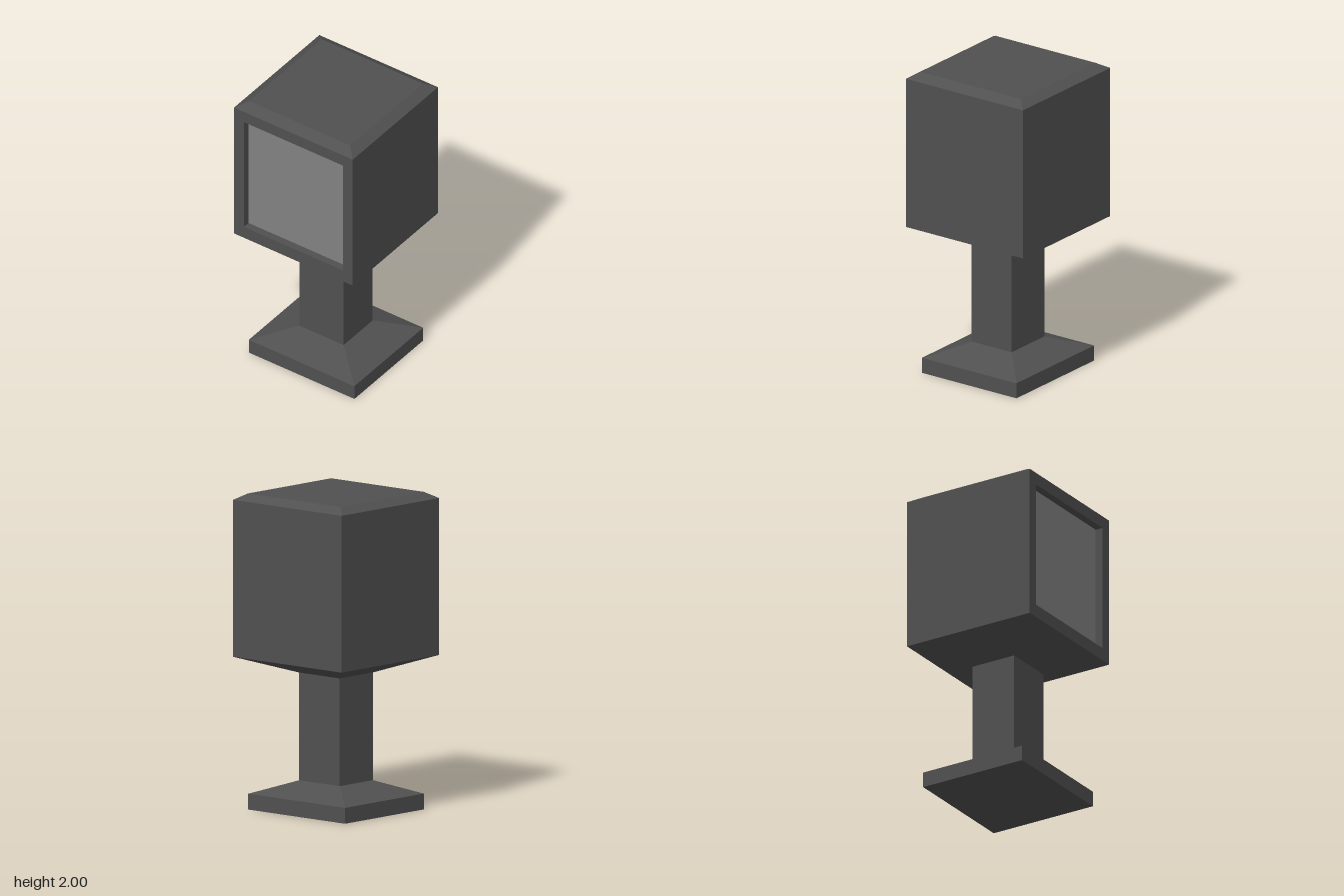
import * as THREE from 'three';

const bodyMat = new THREE.MeshStandardMaterial({ color: 0x505050, flatShading: true });
const screenMat = new THREE.MeshStandardMaterial({ color: 0x828282, flatShading: true });

// Stacks rectangles [halfWidth, halfDepth, y] into a faceted surface.
// Sides run front, right (+x), back, left; listing sections downwards faces them inwards.
function loft(sections, { sides = [0, 1, 2, 3], bottom = false, top = false } = {}) {
  const rings = sections.map(([w, d, y]) => [[-w, y, d], [w, y, d], [w, y, -d], [-w, y, -d]]);
  const pos = [];
  const quad = (a, b, c, d) => pos.push(...a, ...b, ...c, ...a, ...c, ...d);
  for (let k = 0; k < rings.length - 1; k++) {
    const lo = rings[k], hi = rings[k + 1];
    for (const i of sides) quad(lo[i], lo[(i + 1) % 4], hi[(i + 1) % 4], hi[i]);
  }
  if (bottom) quad(...[...rings[0]].reverse());
  if (top) quad(...rings[rings.length - 1]);
  const geo = new THREE.BufferGeometry();
  geo.setAttribute('position', new THREE.Float32BufferAttribute(pos, 3));
  geo.computeVertexNormals();
  return geo;
}

export function createModel() {
  const group = new THREE.Group();
  const add = (name, geo, mat = bodyMat) => {
    const mesh = new THREE.Mesh(geo, mat);
    mesh.name = name;
    group.add(mesh);
    return mesh;
  };

  const H = 0.455, yLow = 0.97, yHigh = 1.96;    // housing
  const W = 0.38, sLow = 1.055, sHigh = 1.88;    // screen opening
  const recess = 0.05, sMid = (sLow + sHigh) / 2, sHalf = (sHigh - sLow) / 2;
  const cw = 0.17, cd = 0.155;                   // column

  // Stand
  add('base', loft([[0.405, 0.367, 0], [0.405, 0.367, 0.1], [cw, cd, 0.185]], { bottom: true }));
  add('column', loft([[cw, cd, 0.185], [cw, cd, 0.865]]));

  // Cabinet: tapered underside, three plain walls, bevelled roof
  add('underside', loft([[cw, cd, 0.865], [H, H, yLow]]));
  add('housing', loft([[H, H, yLow], [H, H, yHigh]], { sides: [1, 2, 3] }));
  add('roof', loft([[H, H, yHigh], [0.388, 0.388, 2]], { top: true }));

  // Front frame with the screen opening
  const rect = (Type, w, y0, y1) => new Type([[-w, y0], [w, y0], [w, y1], [-w, y1]]
    .map(([x, y]) => new THREE.Vector2(x, y)));
  const face = rect(THREE.Shape, H, yLow, yHigh);
  face.holes.push(rect(THREE.Path, W, sLow, sHigh));
  add('frontFrame', new THREE.ShapeGeometry(face)).position.z = H;

  // Inward-facing recess walls and the screen at their back
  const walls = add('screenRecess', loft([[W, sHalf, 0], [W, sHalf, -recess]]));
  walls.rotation.x = Math.PI / 2;
  walls.position.set(0, sMid, H);
  add('screen', new THREE.PlaneGeometry(2 * W, 2 * sHalf), screenMat).position.set(0, sMid, H - recess);

  return group;
}
